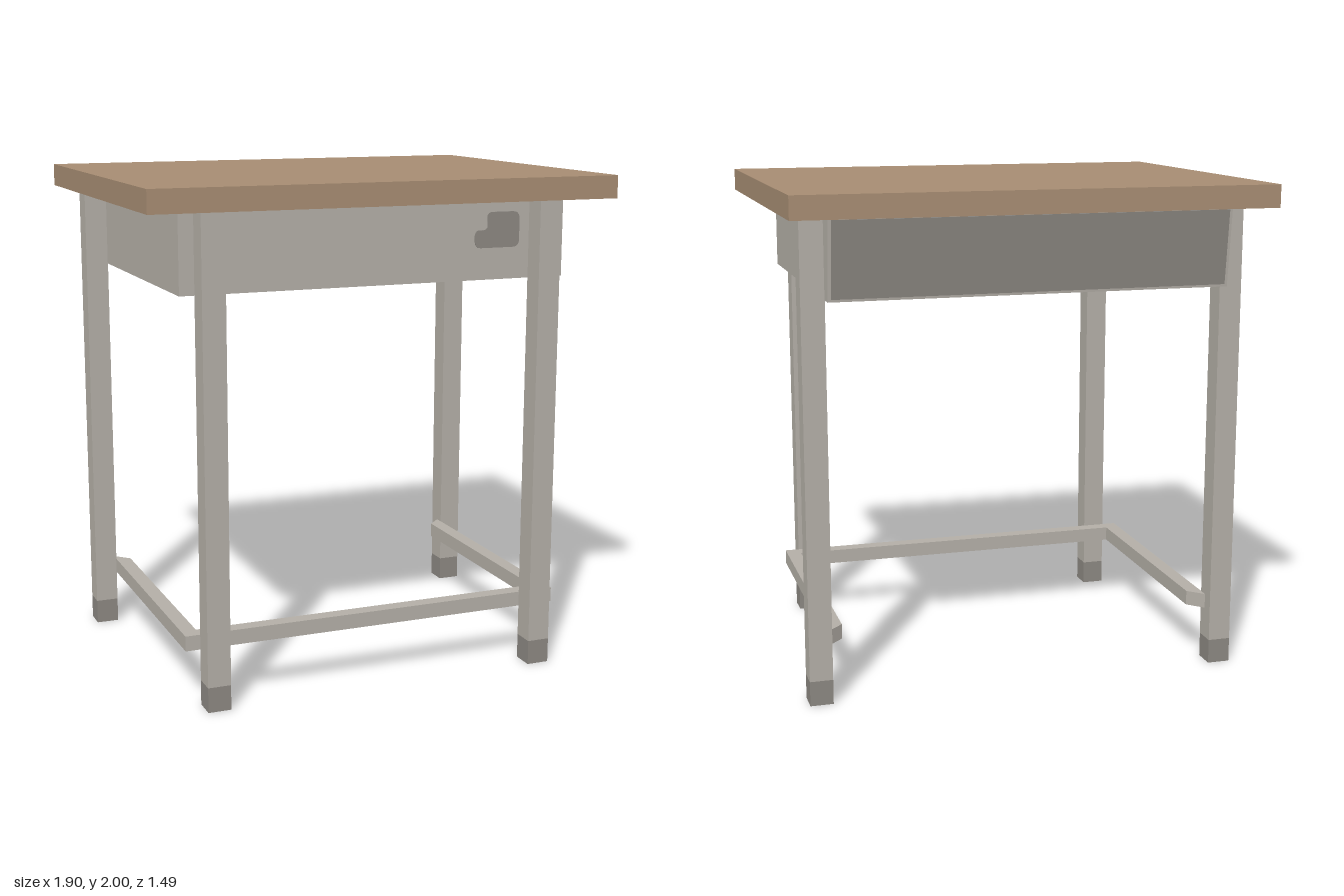
import * as THREE from 'three';

const material = (name, color) => {
  const m = new THREE.MeshStandardMaterial({ color });
  m.name = name;
  return m;
};

export function createModel() {
  const wood = material('wood', 0xa68c72);
  const metal = material('greyMetal', 0xb3aea6);
  const dark = material('darkGrey', 0x8b8781);
  const desk = new THREE.Group();
  desk.name = 'schoolDesk';

  const add = (name, geometry, mat) => {
    const mesh = new THREE.Mesh(geometry, mat);
    mesh.name = name;
    desk.add(mesh);
    return mesh;
  };
  // Box given by its lower and upper limits on each axis
  const box = (name, [x0, x1], [y0, y1], [z0, z1], mat) =>
    add(name, new THREE.BoxGeometry(x1 - x0, y1 - y0, z1 - z0)
      .translate((x0 + x1) / 2, (y0 + y1) / 2, (z0 + z1) / 2), mat);
  const extrude = (points, depth) => new THREE.ExtrudeGeometry(
    new THREE.Shape(points.map(([x, y]) => new THREE.Vector2(x, y))),
    { depth, bevelEnabled: false });
  // Side profile of (-z, y) points, swept across x
  const sweepX = (points, width) =>
    extrude(points, width).translate(0, 0, -width / 2).rotateY(Math.PI / 2);

  // Table top with a thin metal sheet beneath it
  box('tableTop', [-0.95, 0.95], [1.91, 2], [-0.745, 0.745], wood);
  box('undersideSheet', [-0.885, 0.885], [1.905, 1.911], [-0.685, 0.685], metal);

  // Storage tray with a slanted back
  const backAt = (y) => 0.615 + 0.035 * (y - 1.595) / 0.315;
  add('tray', sweepX([[-0.595, 1.595], [backAt(1.595), 1.595], [backAt(1.91), 1.91], [-0.595, 1.91]], 1.59), metal);
  add('trayBackPanel', sweepX([
    [backAt(1.605), 1.605], [backAt(1.605) + 0.004, 1.605],
    [backAt(1.9) + 0.004, 1.9], [backAt(1.9), 1.9],
  ], 1.565), dark);

  // Stepped, rounded patch on the tray front
  const patch = new THREE.Shape();
  patch.moveTo(0.43, 1.72);
  patch.lineTo(0.57, 1.72);
  patch.quadraticCurveTo(0.6, 1.72, 0.6, 1.75);
  patch.lineTo(0.6, 1.83);
  patch.quadraticCurveTo(0.6, 1.86, 0.57, 1.86);
  patch.lineTo(0.48, 1.86);
  patch.quadraticCurveTo(0.46, 1.86, 0.46, 1.84);
  patch.lineTo(0.46, 1.8);
  patch.lineTo(0.45, 1.79);
  patch.lineTo(0.42, 1.79);
  patch.quadraticCurveTo(0.405, 1.785, 0.405, 1.76);
  patch.quadraticCurveTo(0.405, 1.72, 0.43, 1.72);
  add('frontPatch', new THREE.ExtrudeGeometry(patch, { depth: 0.004, bevelEnabled: false, curveSegments: 5 })
    .translate(0, 0, 0.594), dark);

  // Legs: front pair set in, back pair outside the tray
  for (const [side, s] of [['left', 1], ['right', -1]]) {
    for (const [end, x, z] of [['Front', 0.69, 0.64], ['Back', 0.84, -0.505]]) {
      const xs = [s * x - 0.046, s * x + 0.046];
      const zs = [z - 0.046, z + 0.046];
      box(`${side}${end}Leg`, xs, [0.1, 1.91], zs, metal);
      box(`${side}${end}Foot`, xs, [0, 0.1], zs, dark);
    }
  }

  // U-shaped foot rail with mitred ends, drawn as (x, -z)
  add('footRail', extrude([
    [0.795, 0.5], [0.735, 0.44], [0.735, -0.535], [-0.735, -0.535],
    [-0.735, 0.44], [-0.795, 0.5], [-0.795, -0.595], [0.795, -0.595],
  ], 0.06).rotateX(-Math.PI / 2).translate(0, 0.225, 0), metal);

  return desk;
}
